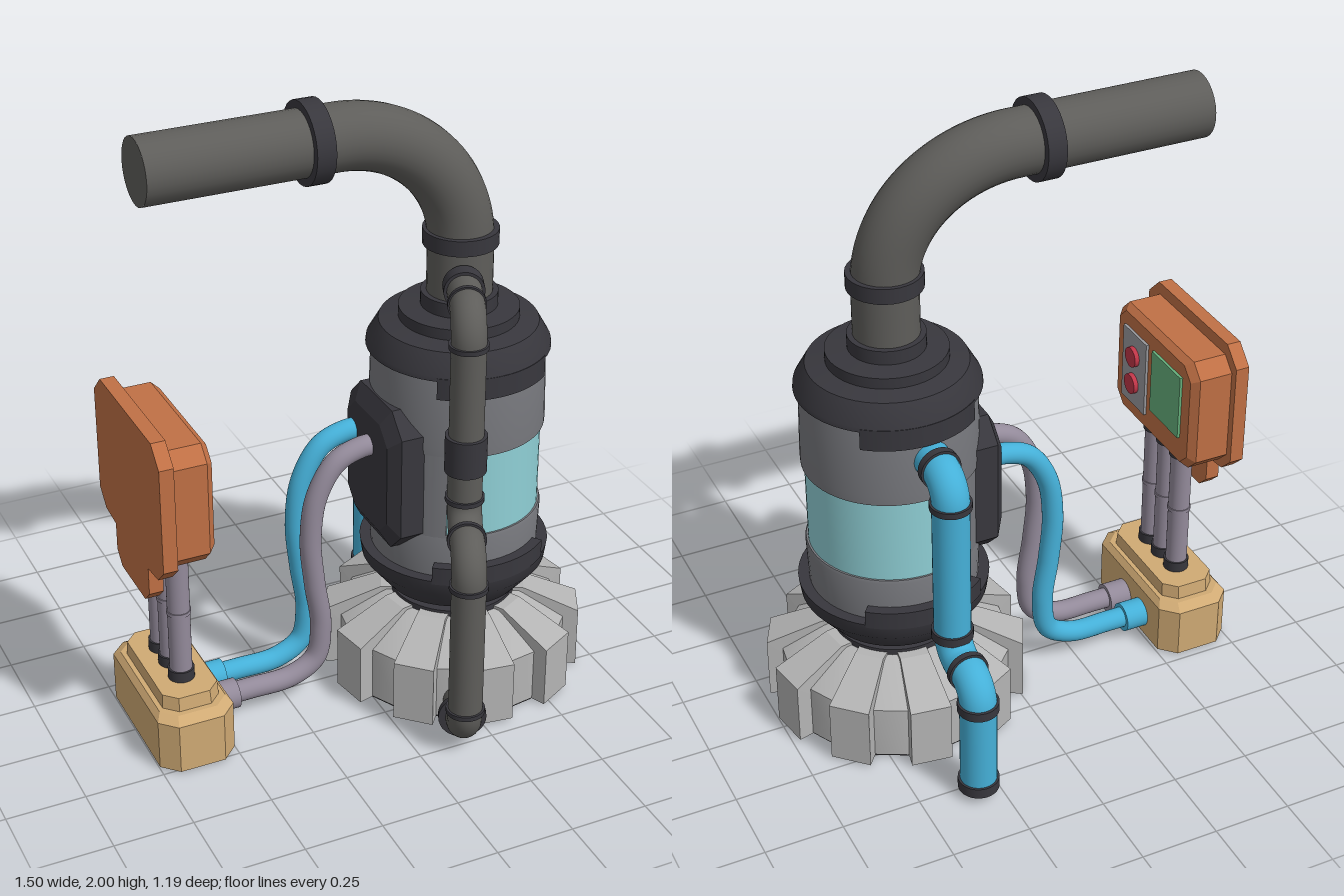
import * as THREE from 'three';
import { toCreasedNormals } from 'three/addons/utils/BufferGeometryUtils.js';

const mat = (color) => new THREE.MeshStandardMaterial({ color });
const M = {
  pipe: mat(0x5e5d5a), dark: mat(0x38373d), shell: mat(0x77787d), glass: mat(0x8fcfd5), base: mat(0xb4b4b4),
  blue: mat(0x45b0d8), orange: mat(0xc07045), tan: mat(0xd0aa74), cable: mat(0x938a9a),
  panel: mat(0x9a9a9e), red: mat(0xc03648), green: mat(0x66b07c),
};
const CX = 0.337, CZ = 0.045; // pump axis
const V = (x, y, z) => new THREE.Vector3(x, y, z);

export function createModel() {
  const root = new THREE.Group();
  const add = (name, geo, material, x = 0, y = 0, z = 0) => {
    const m = new THREE.Mesh(geo, material);
    m.name = name;
    m.position.set(x, y, z);
    root.add(m);
    return m;
  };
  const lathe = (name, pts, material, seg = 56) => add(name, toCreasedNormals(
    new THREE.LatheGeometry(pts.map(([r, y]) => new THREE.Vector2(r, y)), seg), 0.6), material, CX, 0, CZ);

  // Flat outline pushed along +z, far end optionally scaled
  const prism = (shape, depth, taper = 1) => {
    const g = new THREE.ExtrudeGeometry(shape, { depth, bevelEnabled: false, curveSegments: 24 });
    const p = g.attributes.position;
    for (let i = 0; i < p.count; i++)
      if (p.getZ(i) > depth / 2) p.setXY(i, p.getX(i) * taper, p.getY(i) * taper);
    g.computeVertexNormals();
    return g;
  };
  const poly = (pts) => new THREE.Shape(pts.map(([x, y]) => new THREE.Vector2(x, y)));
  const octagon = (w, h, c) => poly([[-w + c, -h], [w - c, -h], [w, -h + c], [w, h - c],
    [w - c, h], [-w + c, h], [-w, h - c], [-w, -h + c]]);
  const upright = (g) => g.rotateX(-Math.PI / 2);
  const facing = (g, sign) => g.rotateY(sign * Math.PI / 2);

  // Curved plate around the pump axis, centred on an angle (0 = +x, PI/2 = -z)
  const sector = (name, r0, r1, mid, half, y, h, material) => {
    const s = new THREE.Shape();
    s.absarc(0, 0, r1, mid - half, mid + half, false);
    s.absarc(0, 0, r0, mid + half, mid - half, true);
    add(name, toCreasedNormals(upright(prism(s, h)), 0.5), material, CX, y, CZ);
  };

  // Round bar between two points, used for rings and collars
  const ring = (name, at, dir, r, len, material = M.dark) => {
    const m = add(name, new THREE.CylinderGeometry(r, r, len, 32), material);
    m.position.copy(at);
    m.quaternion.setFromUnitVectors(V(0, 1, 0), dir.clone().normalize());
  };
  // Tube along a curve with closed ends
  const tube = (name, curve, r, material, seg = 140) => {
    add(name, new THREE.TubeGeometry(curve, seg, r, 28), material);
    for (const [t, s] of [[0, -1], [1, 1]]) {
      const cap = add(name + 'End', new THREE.CircleGeometry(r, 28), material);
      cap.position.copy(curve.getPointAt(t));
      cap.quaternion.setFromUnitVectors(V(0, 0, 1), curve.getTangentAt(t).multiplyScalar(s));
    }
  };
  // Straight runs joined by rounded elbows
  const elbowPath = (pts, f) => {
    const path = new THREE.CurvePath();
    let from = pts[0];
    for (let i = 1; i < pts.length - 1; i++) {
      const c = pts[i];
      const a = c.clone().add(pts[i - 1].clone().sub(c).setLength(f));
      const b = c.clone().add(pts[i + 1].clone().sub(c).setLength(f));
      const k = 0.55;
      path.add(new THREE.LineCurve3(from, a));
      path.add(new THREE.CubicBezierCurve3(a, a.clone().lerp(c, k), b.clone().lerp(c, k), b));
      from = b;
    }
    path.add(new THREE.LineCurve3(from, pts[pts.length - 1]));
    return path;
  };

  // Strainer base with ten sloped teeth
  lathe('baseHub', [[0, 0.012], [0.365, 0.012], [0.365, 0.19], [0.22, 0.28], [0, 0.28]], M.base, 20);
  lathe('basePlate', [[0, 0.005], [0.36, 0.005], [0.36, 0.013]], M.dark, 20);
  for (let i = 0; i < 10; i++) {
    const g = prism(poly([[0.19, 0.01], [0.408, 0.01], [0.408, 0.215], [0.23, 0.29], [0.19, 0.29]]), 0.13);
    g.translate(0, 0, -0.065);
    const p = g.attributes.position;
    for (let j = 0; j < p.count; j++) if (p.getX(j) < 0.3) p.setZ(j, p.getZ(j) * 0.72);
    g.computeVertexNormals();
    add('baseTooth', g, M.base, CX, 0, CZ).rotation.y = THREE.MathUtils.degToRad(10 + i * 36);
  }

  // Pump body
  lathe('baseNeck', [[0.2, 0.27], [0.2, 0.3], [0.165, 0.3], [0.165, 0.37]], M.dark);
  lathe('lowerBand', [[0, 0.335], [0.225, 0.335], [0.293, 0.42], [0.3, 0.47], [0.26, 0.47]], M.dark);
  lathe('lowerShell', [[0.265, 0.46], [0.271, 0.61], [0.268, 0.62], [0.24, 0.62]], M.shell);
  lathe('window', [[0.262, 0.6], [0.262, 0.92]], M.glass);
  lathe('upperShell', [[0.24, 0.9], [0.273, 0.9], [0.274, 0.93], [0.27, 1.1], [0.255, 1.2]], M.shell);
  sector('rearShell', 0.24, 0.27, Math.PI, 1.0, 0.61, 0.3, M.shell);
  lathe('cap', [[0.25, 1.16], [0.284, 1.16], [0.282, 1.175], [0.245, 1.24], [0.185, 1.25], [0.185, 1.285],
    [0.118, 1.29], [0.118, 1.335], [0, 1.335]], M.dark);
  for (const mid of [Math.PI / 2, -Math.PI / 2]) {
    sector('capTab', 0.25, 0.284, mid, 0.7, 1.1, 0.07, M.dark);
    sector('bandTab', 0.25, 0.3, mid, 0.7, 0.46, 0.06, M.dark);
  }
  add('sidePanel', facing(prism(octagon(0.18, 0.24, 0.07), 0.1), -1), M.dark, 0.16, 0.79, CZ);
  add('sidePanelFace', facing(prism(octagon(0.18, 0.24, 0.07), 0.03, 0.78), -1), M.dark, 0.06, 0.79, CZ);

  // Main outlet pipe
  const outlet = new THREE.CurvePath();
  outlet.add(new THREE.LineCurve3(V(CX, 1.28, CZ), V(CX, 1.5, CZ)));
  outlet.add(new THREE.CubicBezierCurve3(V(CX, 1.5, CZ), V(CX, 1.72, 0.035), V(0.16, 1.875, 0.01), V(-0.06, 1.875, 0.01)));
  outlet.add(new THREE.LineCurve3(V(-0.06, 1.875, 0.01), V(-0.665, 1.875, 0.01)));
  tube('outletPipe', outlet, 0.101, M.pipe);
  ring('outletRing', V(CX, 1.515, CZ), V(0, 1, 0), 0.116, 0.05);
  ring('outletRing', V(-0.138, 1.875, 0.01), V(1, 0, 0), 0.125, 0.06);

  // Dark side pipe, laid out in a radial plane: (distance from axis, height)
  const R = (r, y) => V(CX - 0.385 * r, y, CZ + 0.923 * r);
  const out = V(-0.385, 0, 0.923), up = V(0, 1, 0);
  tube('bypassPipe', elbowPath([R(0.05, 1.4), R(0.332, 1.4), R(0.332, 0.71), R(0.53, 0.71), R(0.53, 0.075), R(0.36, 0.075)], 0.085), 0.053, M.pipe, 220);
  for (const [r, y, d, rad, len] of [[0.135, 1.4, out, 0.062, 0.05], [0.245, 1.4, out, 0.058, 0.015],
    [0.332, 1.31, up, 0.06, 0.015], [0.332, 0.955, up, 0.064, 0.12], [0.332, 0.8, up, 0.06, 0.015],
    [0.43, 0.71, out, 0.06, 0.015], [0.53, 0.61, up, 0.06, 0.015], [0.53, 0.165, up, 0.06, 0.015],
    [0.445, 0.077, out, 0.075, 0.02]]) ring('bypassRing', R(r, y), d, rad, len);

  // Blue rear pipe
  const B = (y, z) => V(0.316, y, z), back = V(0, 0, 1);
  tube('rearPipe', elbowPath([B(1.04, -0.15), B(1.04, -0.352), B(0.42, -0.352), B(0.42, -0.532), B(0.026, -0.532)], 0.08), 0.057, M.blue, 200);
  for (const [y, z, d, len] of [[1.04, -0.277, back, 0.025], [0.96, -0.352, up, 0.02], [0.495, -0.352, up, 0.03],
    [0.42, -0.46, back, 0.02], [0.345, -0.532, up, 0.03], [0.045, -0.532, up, 0.035]]) ring('rearRing', B(y, z), d, 0.064, len);

  // Control stand foot
  const SX = -0.627, SZ = 0.02;
  add('standFoot', upright(prism(octagon(0.123, 0.25, 0.05), 0.165)), M.tan, SX, 0.01, SZ);
  add('standFootChamfer', upright(prism(octagon(0.123, 0.25, 0.05), 0.02, 0.87)), M.tan, SX, 0.175, SZ);
  add('standFootTop', upright(prism(octagon(0.092, 0.2, 0.04), 0.05, 0.97)), M.tan, SX, 0.19, SZ);

  // Three posts with collars
  for (const dz of [-0.085, 0, 0.085]) {
    ring('post', V(SX, 0.48, SZ + dz), up, 0.035, 0.5, M.cable);
    ring('postJoint', V(SX, 0.48, SZ + dz), up, 0.038, 0.012, M.cable);
    for (const y of [0.258, 0.705]) ring('postCollar', V(SX, y, SZ + dz), up, 0.041, 0.035);
  }

  // Control box facing +x
  add('boxBackPlate', facing(prism(poly([[-0.1, 0.56], [0.1, 0.56], [0.14, 0.6], [0.14, 0.69], [0.225, 0.7], [0.275, 0.75],
    [0.275, 1.09], [0.215, 1.15], [-0.215, 1.15], [-0.275, 1.09], [-0.275, 0.75], [-0.225, 0.7], [-0.14, 0.69], [-0.14, 0.6]]), 0.045), 1),
    M.orange, -0.735, 0, SZ);
  add('controlBox', facing(prism(octagon(0.25, 0.195, 0.045), 0.11), 1), M.orange, -0.69, 0.915, SZ);
  add('controlBoxFace', facing(prism(octagon(0.25, 0.195, 0.045), 0.022, 0.91), 1), M.orange, -0.58, 0.915, SZ);
  add('buttonPanel', new THREE.BoxGeometry(0.012, 0.26, 0.15), M.panel, -0.555, 0.915, SZ + 0.11);
  add('screen', new THREE.BoxGeometry(0.012, 0.22, 0.18), M.green, -0.555, 0.935, SZ - 0.09);
  for (const y of [0.865, 0.965]) ring('button', V(-0.545, y, SZ + 0.11), V(1, 0, 0), 0.034, 0.022, M.red);

  // Cables from the stand to the side panel
  for (const [name, z, material] of [['powerCable', 0.055, M.cable], ['signalCable', -0.06, M.blue]]) {
    const pts = [[-0.5, 0.085], [-0.38, 0.085], [-0.24, 0.09], [-0.155, 0.14], [-0.135, 0.26], [-0.155, 0.42],
      [-0.167, 0.58], [-0.145, 0.73], [-0.08, 0.835], [0.0, 0.868], [0.06, 0.87]];
    tube(name, new THREE.CatmullRomCurve3(pts.map(([x, y]) => V(x, y, z))), 0.034, material, 90);
    ring(name + 'Sleeve', V(-0.475, 0.083, z), V(1, 0, 0), 0.048, 0.09, material);
  }
  return root;
}
